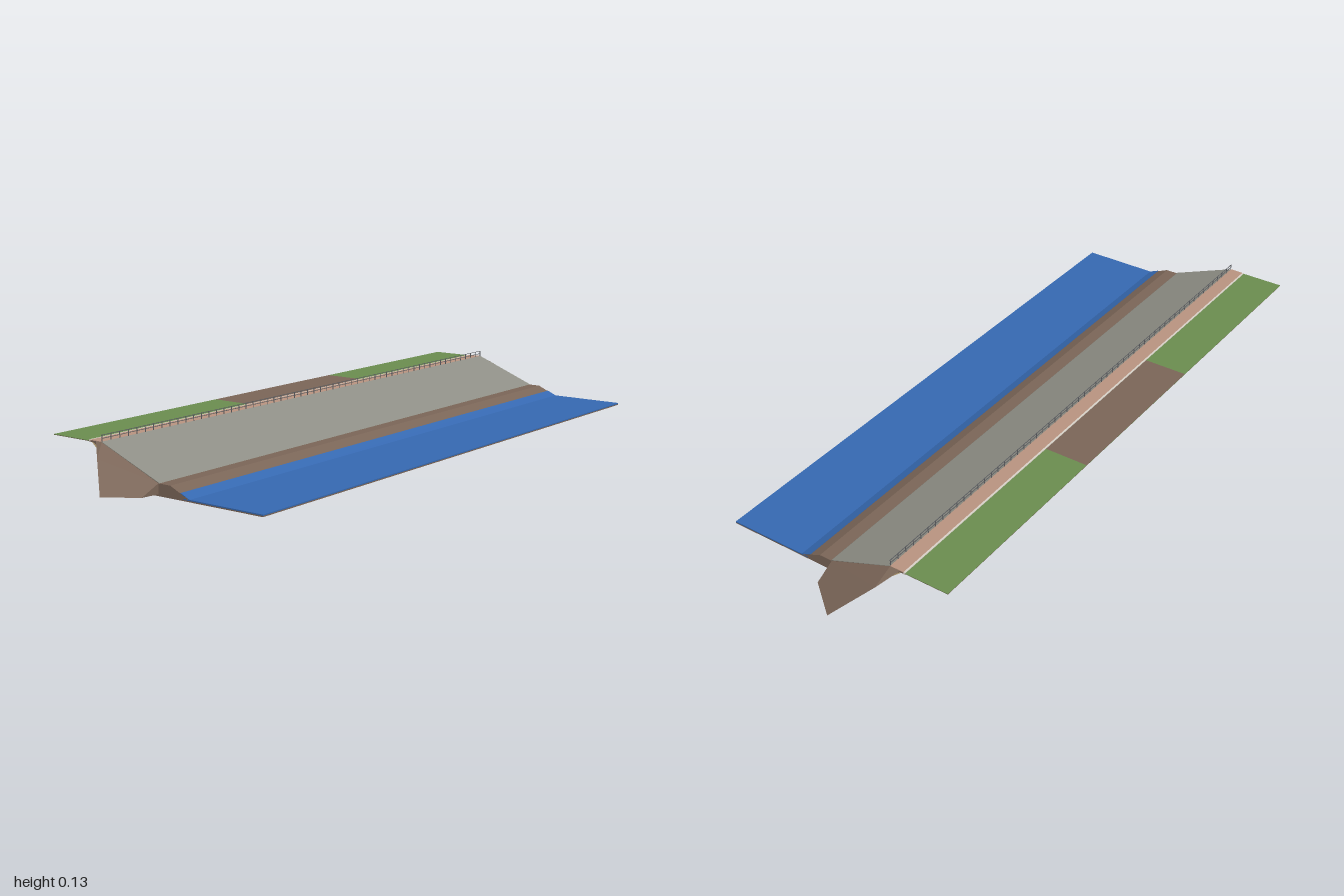
import * as THREE from 'three';
import { ConvexGeometry } from 'three/addons/geometries/ConvexGeometry.js';

const material = (name, color) => {
  const m = new THREE.MeshStandardMaterial({ color });
  m.name = name;
  return m;
};

export function createModel() {
  const earth = material('earth', 0x7a6557);
  const grass = material('grass', 0x6a8c4f);
  const water = material('water', 0x3568b0);
  const concrete = material('concrete', 0x8f8f86);
  const paving = material('paving', 0xb8937f);
  const kerbStone = material('kerb stone', 0xd8d2c8);
  const sand = material('sand', 0xcdb483);
  const metal = material('metal', 0x5a5c60);

  const group = new THREE.Group();
  const X0 = -0.885, X1 = 0.86;

  const add = (name, geometry, mat) => {
    const mesh = new THREE.Mesh(geometry, mat);
    mesh.name = name;
    group.add(mesh);
    return mesh;
  };
  // Sweep a [z, y] cross-section along x
  const prism = (name, points, mat, x0 = X0, x1 = X1) => {
    const shape = new THREE.Shape(points.map(([z, y]) => new THREE.Vector2(-z, y)));
    const g = new THREE.ExtrudeGeometry(shape, { depth: x1 - x0, bevelEnabled: false });
    g.rotateY(Math.PI / 2);
    g.translate(x0, 0, 0);
    return add(name, g, mat);
  };
  // Rectangular strip between z and y limits
  const strip = (name, z0, z1, y0, y1, mat, x0, x1) =>
    prism(name, [[z0, y0], [z1, y0], [z1, y1], [z0, y1]], mat, x0, x1);

  // River bed and water surface
  strip('riverBed', -0.09, 0.35, 0, 0.003, earth);
  strip('waterSurface', 0.1, 0.35, 0.003, 0.006, water);

  // Embankment with berm, toe, slope and crest
  prism('embankment', [
    [0.123, 0.003], [0.057, 0.032], [0.02, 0.032], [-0.175, 0.109],
    [-0.215, 0.109], [-0.215, 0.105], [-0.205, 0.105], [-0.087, 0.003],
  ], earth);
  prism('waterEdge', [[0.125, 0.003], [0.125, 0.004], [0.091, 0.0188], [0.091, 0.0168]], water);
  prism('slopeFacing', [[0.021, 0.0315], [0.018, 0.0345], [-0.175, 0.1105], [-0.175, 0.1085]], concrete);
  prism('sandLayer', [[-0.084, 0.003], [-0.091, 0.003], [-0.209, 0.105], [-0.202, 0.105]], sand);

  // Promenade and kerb along the crest
  strip('promenade', -0.216, -0.175, 0.108, 0.1105, paving);
  strip('kerb', -0.221, -0.216, 0.104, 0.1105, kerbStone);

  // Land behind the crest, in three sections with a contrasting underside
  const sections = [[X0, -0.275, grass, earth], [-0.275, 0.25, earth, grass], [0.25, X1, grass, earth]];
  for (const [a, b, top, under] of sections) {
    strip('landTop', -0.35, -0.221, 0.1075, 0.1085, top, a, b);
    strip('landUnderside', -0.35, -0.221, 0.1065, 0.1075, under, a, b);
  }

  // Tapered earth ends
  const end = (name, points) =>
    add(name, new ConvexGeometry(points.map((p) => new THREE.Vector3(...p))), earth);
  end('leftEnd', [
    [X1, 0.109, -0.205], [X1, 0.109, -0.175], [X1, 0.032, 0.018], [X1, 0.005, 0.018], [X1, 0.005, -0.09],
    [0.92, 0.085, -0.175], [1, 0.008, -0.085], [0.92, 0.006, 0.015],
  ]);
  end('rightEnd', [
    [X0, 0.109, -0.195], [X0, 0.109, -0.175], [X0, 0.032, 0.018], [X0, 0.005, 0.018], [X0, 0.005, -0.09],
    [-0.93, 0.078, -0.145], [-1, 0.008, -0.065], [-0.94, 0.006, 0.015],
  ]);

  // Railing on the river side of the promenade
  for (const y of [0.1185, 0.127]) strip('rail', -0.1755, -0.174, y - 0.0007, y + 0.0007, metal);
  const posts = 59;
  const postGeometry = new THREE.BoxGeometry(0.002, 0.018, 0.0015);
  for (let i = 0; i < posts; i++) {
    const x = X0 + 0.002 + ((X1 - X0 - 0.004) * i) / (posts - 1);
    add('railPost', postGeometry, metal).position.set(x, 0.119, -0.1748);
  }

  // Drain outlets under the crest
  for (let i = -2; i <= 2; i++) {
    add('drain', new THREE.BoxGeometry(0.01, 0.016, 0.009), metal).position.set(-0.02 + i * 0.35, 0.098, -0.212);
  }
  return group;
}
